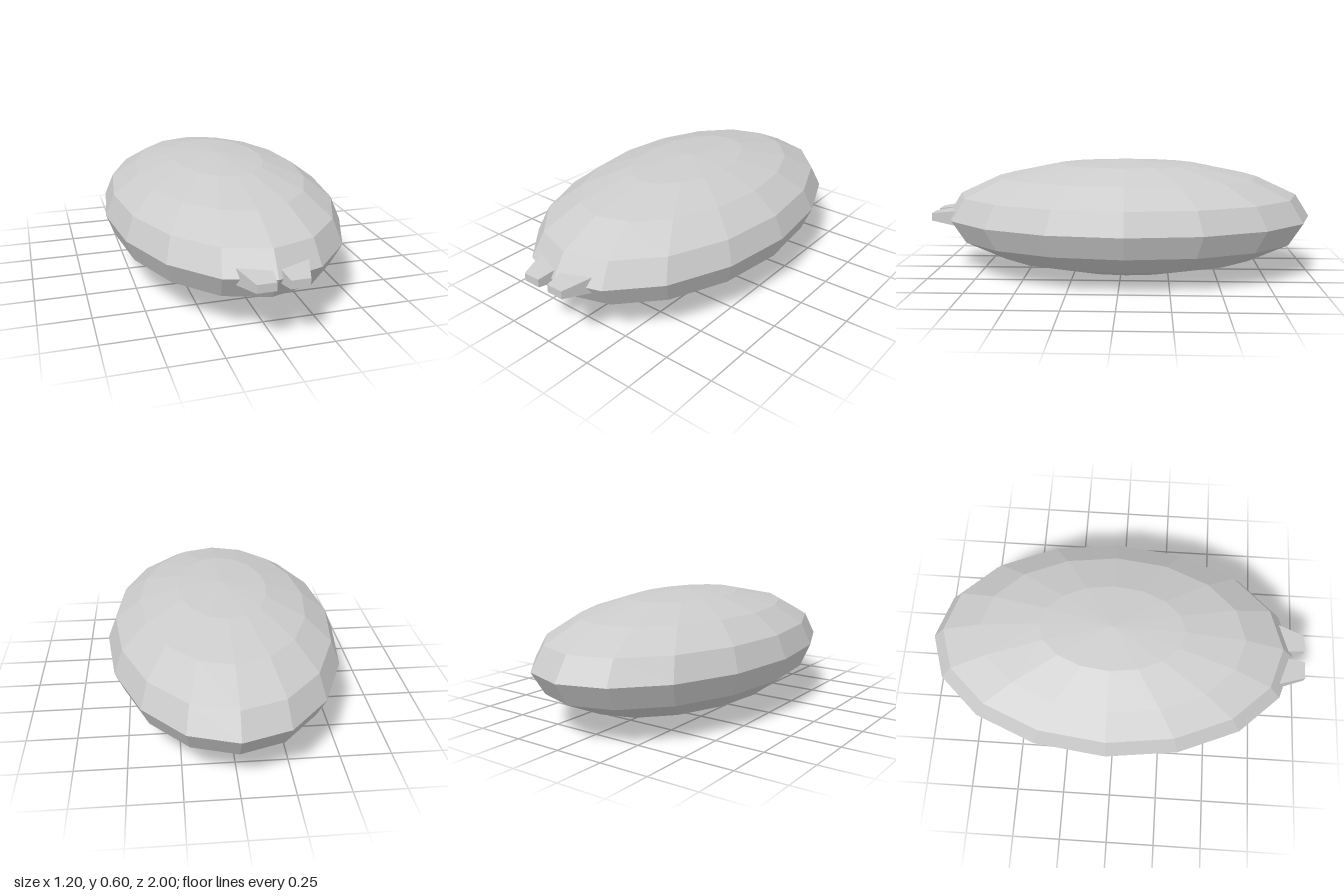
import * as THREE from 'three';

const material = new THREE.MeshStandardMaterial({ color: 0xcccccc, flatShading: true });

// Stubby box that tapers towards the front; side is +1 (left) or -1 (right)
function pincer(side) {
  const geo = new THREE.BoxGeometry(2, 2, 2);
  const p = geo.attributes.position;
  for (let i = 0; i < p.count; i++) {
    const front = p.getZ(i) > 0;
    const outer = p.getX(i) * side > 0;
    const x = outer ? (front ? 0.12 : 0.17) : (front ? 0.03 : 0.012);
    const y = p.getY(i) * (front ? 0.02 : 0.041);
    p.setXYZ(i, x * side, 0.302 + y, front ? 1 : 0.85);
  }
  geo.computeVertexNormals();
  const mesh = new THREE.Mesh(geo, material);
  mesh.name = side > 0 ? 'leftPincer' : 'rightPincer';
  return mesh;
}

export function createModel() {
  const group = new THREE.Group();
  group.name = 'model';

  // Faceted, flattened egg-shaped body
  const shell = new THREE.SphereGeometry(1, 16, 8);
  shell.scale(0.6, 0.3, 0.97);
  shell.translate(0, 0.3, -0.03);
  const body = new THREE.Mesh(shell, material);
  body.name = 'body';
  group.add(body);

  // Pair of pincers at the front
  for (const side of [1, -1]) group.add(pincer(side));
  return group;
}
